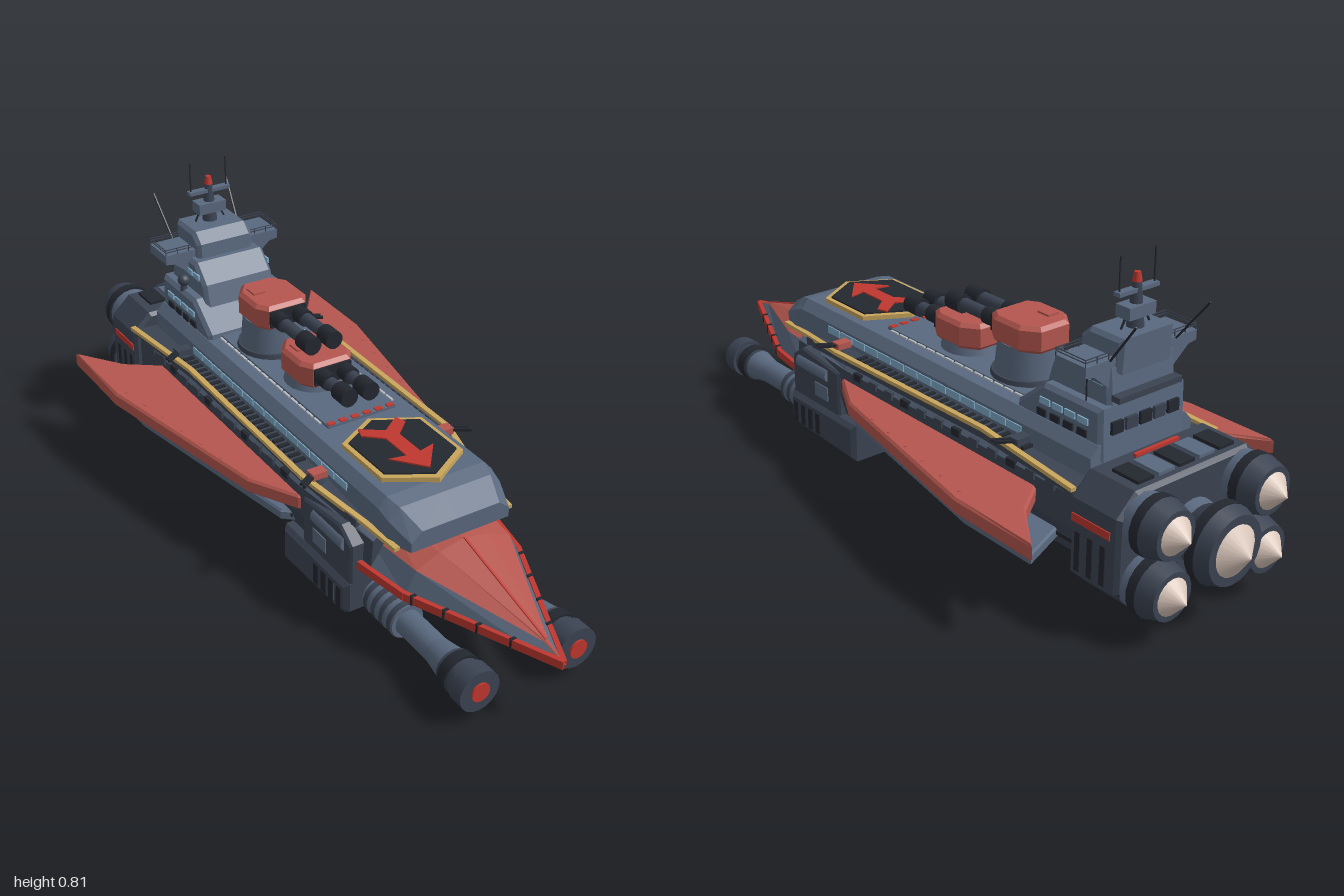
import * as THREE from 'three';

const mat = (name, color) => Object.assign(new THREE.MeshStandardMaterial({ color }), { name });
const M = {
  slate: mat('slate hull', 0x5a697f), dark: mat('dark plating', 0x3b4352), black: mat('gunmetal', 0x23272f),
  red: mat('red armour', 0xb4564e), bright: mat('bright red', 0xbf372f), gold: mat('gold trim', 0xc8a55c),
  pale: mat('engine glow', 0xd9c6ba), blue: mat('window blue', 0x7fa9c6), white: mat('deck white', 0xb9bec6),
};
const V = (a) => new THREE.Vector3(...a);

export function createModel() {
  const root = new THREE.Group();
  root.name = 'spaceWarship';
  const add = (name, geo, m) => {
    const mesh = new THREE.Mesh(geo, m);
    mesh.name = name;
    root.add(mesh);
    return mesh;
  };
  const box = (name, m, w, h, d, x, y, z) => add(name, new THREE.BoxGeometry(w, h, d).translate(x, y, z), m);
  // Cylinder along z from z0 (back) to z1 (front)
  const cyl = (name, m, rBack, rFront, z0, z1, x, y, n = 18) =>
    add(name, new THREE.CylinderGeometry(rFront, rBack, z1 - z0, n).rotateX(Math.PI / 2).translate(x, y, (z0 + z1) / 2), m);
  const post = (name, m, rTop, rBottom, y0, y1, x, z, n = 16) =>
    add(name, new THREE.CylinderGeometry(rTop, rBottom, y1 - y0, n).translate(x, (y0 + y1) / 2, z), m);
  // Square bar between two points
  const beam = (name, m, a, b, w, h = w) => {
    const A = V(a), B = V(b);
    const mesh = add(name, new THREE.BoxGeometry(w, h, A.distanceTo(B)), m);
    mesh.position.copy(A).add(B).multiplyScalar(0.5);
    mesh.lookAt(B);
  };
  const path = (name, m, pts, w, h) => pts.slice(1).forEach((p, i) => beam(name, m, pts[i], p, w, h));
  const extrude = (pts, depth, b) => new THREE.ExtrudeGeometry(new THREE.Shape(pts.map((p) => new THREE.Vector2(...p))),
    { depth: depth - 2 * b, bevelEnabled: b > 0, bevelSize: b, bevelThickness: b, bevelOffset: -b, bevelSegments: 1 }).translate(0, 0, b);
  // Flat plate with an [x, z] outline
  const plate = (name, m, pts, y, h, b = 0) =>
    add(name, extrude(pts.map(([x, z]) => [x, -z]), h, b).rotateX(-Math.PI / 2).translate(0, y, 0), m);
  // Side profile of [z, y] points spread across the width
  const profile = (name, m, pts, hw, b = 0, x = 0) =>
    add(name, extrude(pts, hw * 2, b).translate(0, 0, -hw).rotateY(-Math.PI / 2).translate(x, 0, 0), m);
  // Loft of mirrored half sections [z, [[x, y]...]], one material per strip
  const loft = (name, sections, mats) => {
    const rings = sections.map(([z, h]) => [
      ...h.map(([x, y]) => [x, y, z]), ...h.slice().reverse().map(([x, y]) => [-x, y, z])]);
    const n = rings[0].length, tris = new Map();
    const tri = (m, ...p) => tris.set(m, [...(tris.get(m) || []), ...p.flat()]);
    for (let i = 0; i < rings.length - 1; i++) for (let j = 0; j < n; j++) {
      const k = (j + 1) % n, a = rings[i], b = rings[i + 1];
      const m = mats[Math.min(j, Math.abs(n - 2 - j), mats.length - 1)];
      tri(m, a[j], a[k], b[k]);
      tri(m, a[j], b[k], b[j]);
    }
    const f = rings[rings.length - 1], r = rings[0];
    for (let j = 1; j < n - 1; j++) {
      tri(mats[0], f[0], f[j], f[j + 1]);
      tri(mats[0], r[0], r[j + 1], r[j]);
    }
    tris.forEach((arr, m) => {
      const g = new THREE.BufferGeometry();
      g.setAttribute('position', new THREE.Float32BufferAttribute(arr, 3));
      g.computeVertexNormals();
      add(name, g, m);
    });
  };

  // Main hull, upper hull and prow
  const low = [[0.015, 0.055], [0.13, 0.08], [0.195, 0.13], [0.215, 0.2], [0.215, 0.285], [0.2, 0.31], [0.01, 0.32]];
  const lowFront = [[0.015, 0.1], [0.12, 0.12], [0.16, 0.15], [0.18, 0.2], [0.175, 0.27], [0.15, 0.29], [0.01, 0.295]];
  loft('mainHull', [[-0.68, low], [0.22, low], [0.5, lowFront]], [M.dark, M.dark, M.dark, M.dark, M.slate, M.dark]);
  const up = [[0.01, 0.29], [0.163, 0.29], [0.163, 0.36], [0.14, 0.386], [0.01, 0.386]];
  loft('upperHull', [[-0.66, up], [0.5, up], [0.54, [[0.01, 0.29], [0.163, 0.29], [0.16, 0.345], [0.13, 0.375], [0.01, 0.375]]],
    [0.605, [[0.01, 0.29], [0.14, 0.29], [0.14, 0.315], [0.11, 0.34], [0.01, 0.34]]]], [M.slate]);
  loft('prow', [
    [0.44, [[0, 0.1], [0.13, 0.13], [0.198, 0.19], [0.155, 0.252], [0.1, 0.29], [0, 0.298]]],
    [0.62, [[0, 0.115], [0.1, 0.14], [0.165, 0.188], [0.135, 0.247], [0.07, 0.276], [0, 0.29]]],
    [0.93, [[0, 0.164], [0.02, 0.17], [0.03, 0.182], [0.007, 0.203], [0.004, 0.206], [0, 0.208]]],
    [1.0, [[0, 0.177], [0.001, 0.178], [0.002, 0.18], [0.002, 0.182], [0.001, 0.184], [0, 0.185]]],
  ], [M.dark, M.dark, M.slate, M.red]);
  beam('prowRidge', M.bright, [0, 0.29, 0.62], [0, 0.206, 0.93], 0.006);
  profile('keelFin', M.black, [[0.2, 0.09], [0.16, 0.045], [0.03, 0.03], [-0.67, 0.003], [-0.645, 0.09]], 0.012);
  box('keelStripe', M.bright, 0.01, 0.006, 0.03, 0, 0.003, -0.645);

  // Deck walkway, hexagonal landing pad and arrow marking
  box('deckPlate', M.slate, 0.2, 0.01, 0.6, 0, 0.388, -0.12);
  const hex = (k) => [[0, 0.36 + 0.155 * k], [0.118 * k, 0.36 + 0.085 * k], [0.118 * k, 0.36 - 0.09 * k],
    [0, 0.36 - 0.155 * k], [-0.118 * k, 0.36 - 0.09 * k], [-0.118 * k, 0.36 + 0.085 * k]];
  plate('padTrim', M.gold, hex(1), 0.384, 0.014);
  plate('padSurface', M.black, hex(0.89), 0.395, 0.007);
  plate('padArrow', M.bright, [[0, 0.475], [0.065, 0.395], [0.02, 0.405], [0.02, 0.315], [0.065, 0.275], [0.055, 0.245], [0, 0.285],
    [-0.055, 0.245], [-0.065, 0.275], [-0.02, 0.315], [-0.02, 0.405], [-0.065, 0.395]], 0.4, 0.006);
  for (let i = 0; i < 6; i++) box('padStripe', M.bright, 0.02, 0.004, 0.014, -0.0875 + i * 0.035, 0.394, 0.172);

  for (const s of [1, -1]) {
    // Wings
    const out = (pts) => pts.map(([x, z]) => [x * s, z]);
    plate('wing', M.red, out([[0.19, 0.25], [0.22, 0.23], [0.29, 0.1], [0.395, -0.46], [0.395, -0.727], [0.3, -0.6], [0.19, -0.52]]), 0.216, 0.042, 0.006);
    plate('lowerWing', M.slate, out([[0.18, 0.2], [0.23, 0.16], [0.332, -0.42], [0.332, -0.655], [0.2, -0.6]]), 0.147, 0.03, 0.005);
    plate('lowerWingPad', M.dark, out([[0.18, 0.1], [0.22, 0.08], [0.305, -0.4], [0.305, -0.6], [0.2, -0.56]]), 0.135, 0.013);
    for (let i = 0; i < 6; i++) box('wingRivet', M.red, 0.006, 0.004, 0.006, (0.3 + i * 0.013) * s, 0.258, -0.02 - i * 0.085);
    // Prow rim with clamps
    path('prowRim', M.bright, [[0.2 * s, 0.194, 0.44], [0.167 * s, 0.188, 0.62], [0, 0.181, 0.995]], 0.012, 0.022);
    for (let i = 0; i < 4; i++) {
      const t = 0.06 + i * 0.21;
      box('rimClamp', M.black, 0.015, 0.026, 0.008, 0.167 * s * (1 - t), 0.188 - 0.007 * t, 0.62 + 0.375 * t);
    }
    // Gold trim, dark shoulder with ribs, window band and deck lines
    path('goldTrim', M.gold, [[0.162 * s, 0.293, 0.58], [0.172 * s, 0.298, 0.46], [0.217 * s, 0.325, 0.25], [0.215 * s, 0.333, -0.35], [0.232 * s, 0.316, -0.68]], 0.015, 0.01);
    path('shoulder', M.dark, [[0.165 * s, 0.29, 0.44], [0.19 * s, 0.311, 0.23], [0.19 * s, 0.314, -0.35], [0.202 * s, 0.302, -0.67]], 0.045, 0.022);
    for (let i = 0; i < 14; i++) {
      box('hullWindow', M.blue, 0.008, 0.02, 0.053, 0.162 * s, 0.343, 0.34 - i * 0.057);
      box('deckDash', M.white, 0.006, 0.004, 0.03, 0.108 * s, 0.392, 0.14 - i * 0.038);
    }
    for (let i = 0; i < 26; i++) box('edgeRib', M.black, 0.03, 0.008, 0.012, 0.185 * s, 0.324, 0.18 - i * 0.026);
    for (let i = 0; i < 12; i++) box('hullPanel', i % 3 ? M.dark : M.black, 0.012, 0.02, 0.03, 0.214 * s, 0.285, 0.16 - i * 0.068);
    for (let i = 0; i < 6; i++) beam('bottomRib', M.black, [0.03 * s, 0.058, 0.1 - i * 0.14], [0.13 * s, 0.08, 0.1 - i * 0.14], 0.004);
    beam('keelBrace', M.slate, [0.012 * s, 0.082, 0.2], [0.055 * s, 0.106, 0.2], 0.012);
    beam('sideSeam', M.black, [0.207 * s, 0.165, 0.18], [0.207 * s, 0.165, -0.66], 0.006, 0.01);
    // Heavy cannon with its pod and mount
    const x = 0.14 * s, y = 0.086;
    profile('cannonPod', M.dark, [[0.17, 0.14], [0.47, 0.14], [0.47, 0.06], [0.45, 0.045], [0.17, 0.035]], 0.073, 0.012, 0.158 * s);
    profile('cannonMount', M.dark, [[0.25, 0.13], [0.25, 0.265], [0.42, 0.285], [0.47, 0.25], [0.47, 0.13]], 0.028, 0.006, 0.19 * s);
    box('mountPanel', M.slate, 0.008, 0.04, 0.06, 0.217 * s, 0.185, 0.33);
    cyl('mountDrum', M.slate, 0.022, 0.022, 0.3, 0.44, 0.206 * s, 0.24, 12);
    for (let i = 0; i < 4; i++) box('podVent', M.black, 0.008, 0.06, 0.02, 0.23 * s, 0.09, 0.44 - i * 0.035);
    box('podStripe', M.bright, 0.006, 0.05, 0.012, 0.23 * s, 0.09, 0.41);
    cyl('cannonSleeve', M.slate, 0.045, 0.045, 0.46, 0.6, x, y);
    for (let i = 0; i < 4; i++) cyl('cannonRing', M.dark, 0.048, 0.048, 0.48 + i * 0.033, 0.495 + i * 0.033, x, y);
    cyl('cannonBarrel', M.slate, 0.034, 0.034, 0.6, 0.8, x, y);
    cyl('cannonCollar', M.slate, 0.034, 0.044, 0.72, 0.78, x, y);
    cyl('cannonMuzzle', M.black, 0.05, 0.052, 0.79, 0.82, x, y);
    cyl('cannonMuzzle', M.dark, 0.046, 0.046, 0.78, 0.84, x, y);
    cyl('cannonMuzzle', M.dark, 0.055, 0.055, 0.84, 0.885, x, y);
    cyl('muzzleLens', M.bright, 0.025, 0.025, 0.88, 0.89, x, y);
    // Small side turrets, red in front and dark behind
    for (const [z, m] of [[0.27, M.red], [-0.45, M.dark]]) {
      post('sideTurretBase', M.dark, 0.02, 0.024, 0.31, 0.328, 0.188 * s, z);
      box('sideTurret', m, 0.042, 0.018, 0.03, 0.188 * s, 0.336, z);
      for (const d of [-0.007, 0.007]) beam('sideGun', M.black, [0.2 * s, 0.338, z + d], [0.248 * s, 0.338, z + d + 0.03], 0.007);
    }
    // Engine nozzles on the flanks
    for (const ny of [0.128, 0.28]) {
      const nx = 0.157 * s;
      cyl('engineBell', M.slate, 0.068, 0.066, -0.855, -0.81, nx, ny);
      cyl('engineRing', M.black, 0.074, 0.074, -0.875, -0.85, nx, ny);
      cyl('engineLip', M.dark, 0.06, 0.073, -0.92, -0.875, nx, ny);
      cyl('engineGlow', M.pale, 0.001, 0.052, -0.962, -0.915, nx, ny);
    }
    box('engineStripe', M.bright, 0.008, 0.02, 0.12, 0.233 * s, 0.252, -0.74);
    for (let i = 0; i < 3; i++) box('engineSlat', M.black, 0.01, 0.1, 0.016, 0.232 * s, 0.17, -0.7 - i * 0.04);
    // Tower side details
    for (let i = 0; i < 4; i++) {
      box('towerWindow', M.blue, 0.006, 0.016, 0.034, 0.139 * s, 0.43, -0.48 - i * 0.042);
      box('towerWindow', M.blue, 0.006, 0.016, 0.032, 0.109 * s, 0.525, -0.5 - i * 0.04);
      box('towerVent', M.black, 0.008, 0.018, 0.03, 0.139 * s, 0.4, -0.47 - i * 0.045);
    }
    beam('whipAntenna', M.black, [0.105 * s, 0.58, -0.65], [0.116 * s, 0.69, -0.735], 0.004);
    beam('mastAntenna', M.black, [0.055 * s, 0.71, -0.62], [0.055 * s, 0.805, -0.62], 0.003);
    beam('mastStay', M.black, [0.045 * s, 0.63, -0.62], [0.018 * s, 0.68, -0.62], 0.004);
    // Balcony railing
    for (const ry of [0.592, 0.599]) path('rail', M.dark, [[0.09 * s, ry, -0.55], [0.175 * s, ry, -0.55], [0.175 * s, ry, -0.645], [0.09 * s, ry, -0.645]], 0.002);
    for (let i = 0; i < 3; i++) for (const z of [-0.55, -0.645]) beam('railPost', M.dark, [(0.105 + i * 0.035) * s, 0.58, z], [(0.105 + i * 0.035) * s, 0.6, z], 0.002);
  }

  // Engine block and central nozzle
  add('engineBlock', extrude([[-0.18, 0.352], [-0.234, 0.3], [-0.234, 0.11], [-0.18, 0.058], [0.18, 0.058], [0.234, 0.11], [0.234, 0.3], [0.18, 0.352]],
    0.155, 0.01).translate(0, 0, -0.825), M.dark);
  for (let i = 0; i < 5; i++) box('engineVent', i % 2 ? M.slate : M.black, 0.05, 0.012, 0.08, -0.13 + i * 0.065, 0.354, -0.76);
  box('engineDeckStripe', M.bright, 0.14, 0.008, 0.01, 0, 0.358, -0.705);
  cyl('mainBell', M.slate, 0.07, 0.08, -0.86, -0.8, 0, 0.2, 24);
  cyl('mainBell', M.dark, 0.095, 0.07, -0.9, -0.85, 0, 0.2, 24);
  cyl('mainRing', M.black, 0.1, 0.1, -0.92, -0.895, 0, 0.2, 24);
  cyl('mainLip', M.dark, 0.086, 0.098, -0.955, -0.92, 0, 0.2, 24);
  cyl('mainGlow', M.pale, 0.001, 0.078, -1.0, -0.945, 0, 0.2, 24);

  // Twin gun turrets
  const turret = (z, y, len) => {
    plate('turretBody', M.red, [[0.055, z + 0.085], [0.078, z + 0.05], [0.078, z - 0.04], [0.045, z - 0.085],
      [-0.045, z - 0.085], [-0.078, z - 0.04], [-0.078, z + 0.05], [-0.055, z + 0.085]], y - 0.036, 0.07, 0.01);
    box('turretHatch', M.red, 0.035, 0.01, 0.04, -0.035, y + 0.034, z - 0.02);
    box('gunMantlet', M.black, 0.108, 0.046, 0.02, 0, y, z + 0.082);
    for (const gx of [-0.032, 0.032]) {
      cyl('turretSleeve', M.black, 0.023, 0.023, z + 0.08, z + 0.13, gx, y, 14);
      cyl('turretBarrel', M.dark, 0.017, 0.017, z + 0.12, z + len - 0.01, gx, y, 14);
      cyl('turretMuzzle', M.black, 0.025, 0.025, z + len - 0.05, z + len, gx, y, 14);
    }
  };
  post('turretRing', M.slate, 0.075, 0.085, 0.385, 0.42, 0, -0.05, 24);
  post('turretRing', M.dark, 0.095, 0.1, 0.385, 0.405, 0, -0.27, 24);
  post('turretPedestal', M.slate, 0.08, 0.088, 0.4, 0.485, 0, -0.27, 24);
  turret(-0.05, 0.448, 0.22);
  turret(-0.275, 0.513, 0.27);

  // Bridge tower
  profile('towerBase', M.slate, [[-0.37, 0.34], [-0.38, 0.4], [-0.47, 0.472], [-0.66, 0.472], [-0.665, 0.34]], 0.138, 0.01);
  profile('towerMiddle', M.slate, [[-0.44, 0.44], [-0.46, 0.51], [-0.51, 0.56], [-0.65, 0.56], [-0.66, 0.44]], 0.108, 0.01);
  profile('towerTop', M.slate, [[-0.525, 0.54], [-0.53, 0.6], [-0.56, 0.628], [-0.665, 0.628], [-0.66, 0.54]], 0.085, 0.01);
  add('bridgeBalcony', extrude([[-0.176, 0.582], [-0.176, 0.556], [-0.15, 0.552], [-0.1, 0.51], [0.1, 0.51], [0.15, 0.552], [0.176, 0.556], [0.176, 0.582]], 0.1, 0).translate(0, 0, -0.648), M.slate);
  for (let i = 0; i < 5; i++) box('rearPanel', i % 2 ? M.dark : M.black, 0.035, 0.03, 0.012, -0.09 + i * 0.045, 0.42, -0.664);
  box('rearLedge', M.dark, 0.2, 0.015, 0.03, 0, 0.49, -0.665);
  add('sensorDome', new THREE.SphereGeometry(0.017, 14, 10).translate(-0.125, 0.497, -0.55), M.dark);
  post('sensorPost', M.dark, 0.008, 0.012, 0.46, 0.49, -0.125, -0.55, 8);
  beam('shortAntenna', M.black, [0.125, 0.46, -0.6], [0.125, 0.55, -0.6], 0.003);

  // Mast
  post('mast', M.dark, 0.01, 0.022, 0.62, 0.74, 0, -0.62, 10);
  box('radarBlock', M.slate, 0.083, 0.03, 0.045, 0, 0.67, -0.62);
  box('crossArm', M.slate, 0.125, 0.01, 0.02, 0, 0.717, -0.62);
  post('mastBeacon', M.bright, 0.008, 0.012, 0.735, 0.758, 0, -0.62, 10);
  return root;
}
